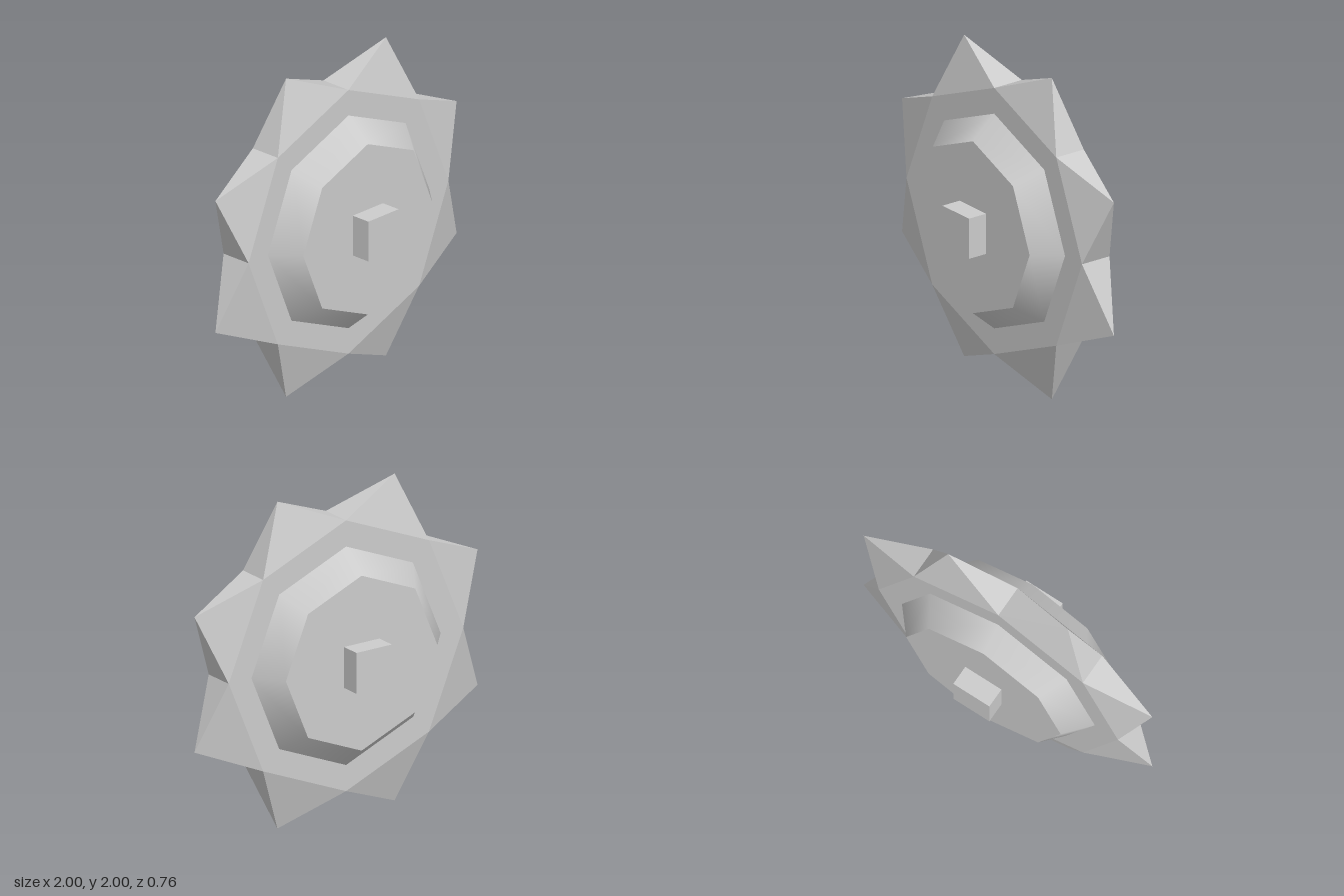
import * as THREE from 'three';

const SIDES = 8;
const STEP = (Math.PI * 2) / SIDES;
const PLATE_R = 0.828, TIP_R = 1.082, HALF = 0.1;

// Point on a circle in the xy plane, at depth z
const polar = (r, a, z) => [r * Math.cos(a), r * Math.sin(a), z];

// Octagonal plate whose eight rims each rise to a pointed spike
function starGeometry() {
  const pos = [];
  const tri = (...corners) => corners.forEach((c) => pos.push(...c));
  for (let i = 0; i < SIDES; i++) {
    const a = i * STEP, b = a + STEP;
    const tip = polar(TIP_R, a + STEP / 2, 0);
    const f1 = polar(PLATE_R, a, HALF), f2 = polar(PLATE_R, b, HALF);
    const b1 = polar(PLATE_R, a, -HALF), b2 = polar(PLATE_R, b, -HALF);
    // plate faces
    tri([0, 0, HALF], f1, f2);
    tri([0, 0, -HALF], b2, b1);
    // four sides of the spike
    tri(f1, tip, f2);
    tri(b2, tip, b1);
    tri(tip, f1, b1);
    tri(tip, b2, f2);
  }
  const geo = new THREE.BufferGeometry();
  geo.setAttribute('position', new THREE.Float32BufferAttribute(pos, 3));
  geo.computeVertexNormals();
  return geo;
}

export function createModel() {
  const group = new THREE.Group();
  const material = new THREE.MeshStandardMaterial({ color: 0xcccccc });
  const add = (name, geometry, z = 0) => {
    const mesh = new THREE.Mesh(geometry, material);
    mesh.name = name;
    mesh.position.set(0, 1, z);
    group.add(mesh);
    return mesh;
  };

  add('spikedPlate', starGeometry());

  // Tapered octagonal hub on each face, smooth around its sides
  for (const side of [1, -1]) {
    const hub = new THREE.CylinderGeometry(0.535, 0.668, 0.155, SIDES);
    hub.rotateX((side * Math.PI) / 2);
    add(side > 0 ? 'frontHub' : 'backHub', hub, side * (HALF + 0.0775));
  }

  // Square axle running through the centre
  add('axle', new THREE.BoxGeometry(0.25, 0.25, 0.76));

  return group;
}
